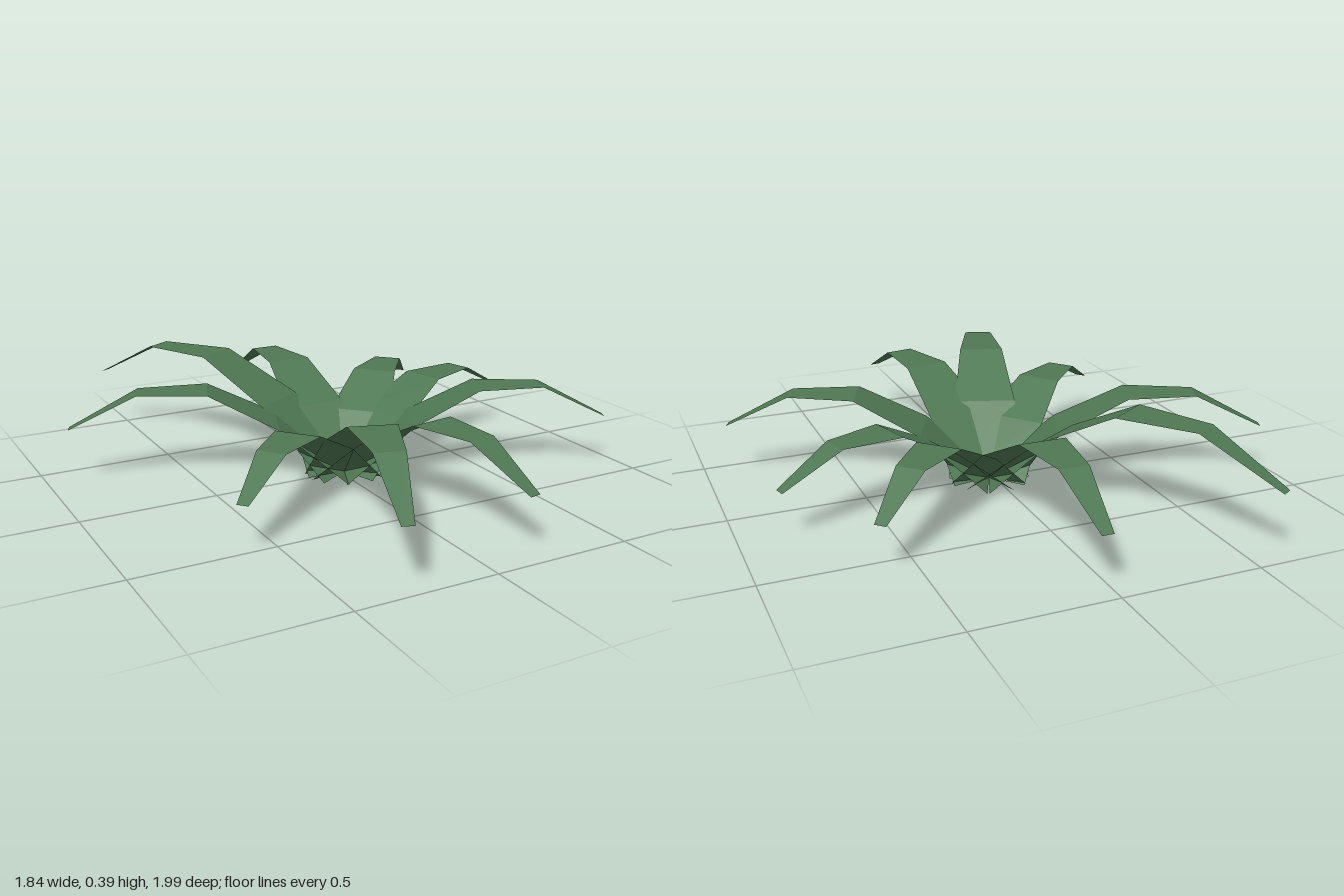
import * as THREE from 'three';

const BASE_WIDTH = 0.3, TAPER = 0.86, ARCH = 0.353, SEGMENTS = 4;
const CENTRE = [0.02, 0];

// Tip of every leaf as [x, z], going round the plant
const TIPS = [
  [-0.586, -0.985], [0.034, -0.962], [0.626, -0.595],
  [0.858, -0.234], [0.911, 0.409], [0.177, 0.937],
  [-0.317, 0.985], [-0.625, 0.517], [-0.916, -0.372],
];

// A flat tapered ribbon along +z that rises in an arch and droops at the tip
function leafGeometry(length) {
  const geometry = new THREE.PlaneGeometry(1, 1, 1, SEGMENTS).rotateX(-Math.PI / 2);
  const p = geometry.attributes.position;
  for (let i = 0; i < p.count; i++) {
    const t = p.getZ(i) + 0.5;
    p.setXYZ(
      i,
      p.getX(i) * BASE_WIDTH * (1 - TAPER * t),
      length * ARCH * Math.sin(t * Math.PI * 0.8),
      t * length,
    );
  }
  geometry.computeVertexNormals();
  return geometry;
}

export function createModel() {
  const plant = new THREE.Group();
  plant.name = 'plant';
  const green = new THREE.MeshStandardMaterial({
    name: 'leaf green', color: 0x4f7853, flatShading: true, side: THREE.DoubleSide,
  });

  // Leaves fan out from one shared root point
  TIPS.forEach(([x, z], i) => {
    const dx = x - CENTRE[0], dz = z - CENTRE[1];
    const leaf = new THREE.Mesh(leafGeometry(Math.hypot(dx, dz)), green);
    leaf.name = `leaf${i + 1}`;
    leaf.position.set(CENTRE[0], 0, CENTRE[1]);
    leaf.rotation.y = Math.atan2(dx, dz);
    plant.add(leaf);
  });
  return plant;
}
